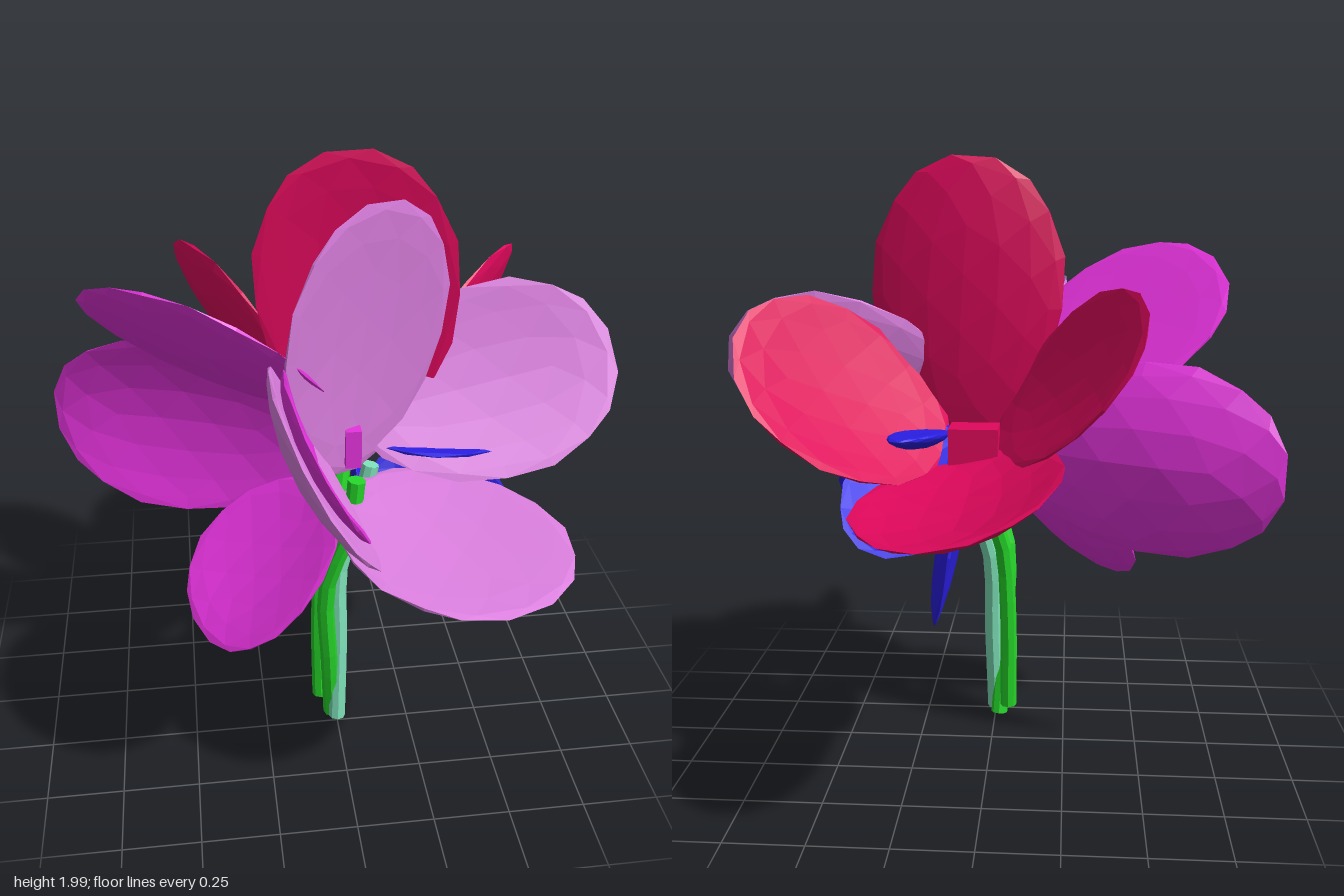
import * as THREE from 'three';

const mat = (name, color) => {
  const m = new THREE.MeshStandardMaterial({ color, flatShading: true });
  m.name = name;
  return m;
};
const V = (a) => new THREE.Vector3(...a);

// Faceted, cupped oval running from base to tip; inner is the way its hollow faces
function petal(material, [base, tip, inner, width, cup = 0.07]) {
  const from = V(base), y = V(tip).sub(from), length = y.length();
  y.normalize();
  const z = V(inner).addScaledVector(y, -V(inner).dot(y)).normalize();
  const x = y.clone().cross(z);
  const geo = new THREE.IcosahedronGeometry(1, 2);
  const p = geo.attributes.position;
  for (let i = 0; i < p.count; i++) {
    const t = (p.getY(i) + 1) / 2;
    const side = p.getX(i) * (0.86 + 0.22 * t);
    const along = 2 * t - 1;
    const bend = cup * (side * side + 0.6 * along * along - 0.5);
    p.setXYZ(i, side * width / 2, t * length, p.getZ(i) * 0.025 + bend);
  }
  geo.applyMatrix4(new THREE.Matrix4().makeBasis(x, y, z).setPosition(from));
  geo.computeVertexNormals();
  const mesh = new THREE.Mesh(geo, material);
  mesh.name = 'petal';
  return mesh;
}

function flower(name, material, petals) {
  const g = new THREE.Group();
  g.name = name;
  petals.forEach((d) => g.add(petal(material, d)));
  return g;
}

function stem(name, material, points) {
  const g = new THREE.Group();
  g.name = name;
  const curve = new THREE.CatmullRomCurve3(points.map(V));
  const tube = new THREE.Mesh(new THREE.TubeGeometry(curve, 10, 0.029, 8), material);
  tube.name = 'stalk';
  g.add(tube);
  // Closed ends
  for (const t of [0, 1]) {
    const cap = new THREE.Mesh(new THREE.CircleGeometry(0.029, 8), material);
    cap.name = 'stalkEnd';
    cap.position.copy(curve.getPoint(t));
    cap.lookAt(cap.position.clone().addScaledVector(curve.getTangent(t), t ? 1 : -1));
    g.add(cap);
  }
  return g;
}

function centre(name, material, size, position) {
  const m = new THREE.Mesh(new THREE.BoxGeometry(...size), material);
  m.name = name;
  m.position.set(...position);
  return m;
}

export function createModel() {
  const model = new THREE.Group();
  model.name = 'bouquet';
  const mauve = mat('mauve', 0xe082e4);
  const magenta = mat('magenta', 0xe633de);
  const crimson = mat('crimson', 0xe0085c);
  const blue = mat('blue', 0x2a1ee2);
  const green = mat('green', 0x26d62a);
  const mint = mat('mint', 0x7ee0b8);

  // Each petal: base, tip, inner direction, width, cup depth
  model.add(flower('mauveFlower', mauve, [
    [[0.02, 1.0, 0.2], [0.13, 1.92, 0.25], [0.48, 0, 0.87], 0.62, 0.05],
    [[0.06, 1.15, 0.1], [0.92, 1.34, 0.1], [0, 0.45, 0.9], 0.66],
    [[0.14, 0.96, 0.14], [0.45, 0.94, 0.92], [0, 1, 0], 0.69, 0.05],
    [[-0.06, 1.09, 0.17], [-0.16, 1.41, 0.99], [0.88, 0.48, 0], 0.66],
  ]));
  model.add(flower('magentaFlower', magenta, [
    [[-0.03, 1.05, 0.06], [-0.92, 1.03, -0.32], [-0.36, 0, 0.93], 0.66, 0.1],
    [[-0.04, 1.23, 0.17], [-0.76, 1.63, 0.14], [0.29, 0.41, -0.36], 0.69, 0.04],
    [[-0.02, 0.98, 0.25], [-0.46, 0.51, 0.33], [-0.55, 0.6, 0.5], 0.5],
    [[-0.04, 1.04, 0.18], [-0.14, 1.39, 0.78], [0.86, 0.5, 0.1], 0.58],
  ]));
  model.add(flower('crimsonFlower', crimson, [
    [[0.12, 1.06, 0.035], [0.06, 2.0, 0.0], [-0.13, 0, 1], 0.67, 0.05],
    [[0.04, 1.04, -0.06], [0.06, 0.98, -1.0], [0.2, 1, 0], 0.65, 0.1],
    [[0.14, 1.11, 0.0], [0.72, 1.41, -0.53], [-0.75, 0.45, -0.36], 0.65],
    [[-0.02, 1.1, 0.0], [-0.48, 1.5, -0.55], [0.7, 0.4, -0.3], 0.56],
  ]));
  model.add(flower('blueFlower', blue, [
    [[0.13, 0.96, 0.1], [0.54, 0.75, 0.32], [-0.2, 0.6, 0.77], 0.42, 0.08],
    [[0.08, 1.0, -0.03], [0.19, 0.45, -0.08], [-1, 0, 0], 0.44, 0.04],
    [[0.1, 1.08, 0.07], [0.67, 1.07, -0.04], [0.05, 1, 0.2], 0.45, 0.05],
    [[0.14, 1.12, 0.0], [0.32, 0.83, -0.55], [-0.2, 0.85, -0.4], 0.4, 0.08],
    [[0.15, 1.11, -0.06], [0.28, 1.13, -0.34], [0, 1, 0], 0.14, 0.02],
  ]));

  // Flower centres
  model.add(centre('crimsonCentre', crimson, [0.16, 0.14, 0.13], [0.05, 1.07, -0.1]));
  model.add(centre('magentaCentre', magenta, [0.05, 0.13, 0.05], [0.05, 1.11, 0.22]));

  // Stems gathered at the foot
  model.add(stem('magentaStem', green, [
    [-0.015, 0.01, 0.2], [-0.03, 0.3, 0.25], [-0.04, 0.62, 0.28], [0.03, 0.86, 0.31], [0.05, 1.04, 0.31]]));
  model.add(stem('crimsonStem', green, [
    [-0.05, 0.06, 0.16], [-0.05, 0.4, 0.14], [-0.03, 0.68, 0.12], [0.03, 0.86, 0.07], [0.05, 1.04, 0.02]]));
  model.add(stem('mauveStem', mint, [
    [0.0, 0.02, 0.24], [0.01, 0.35, 0.21], [0.015, 0.62, 0.18], [0.08, 0.83, 0.16], [0.12, 1.0, 0.15]]));
  return model;
}
